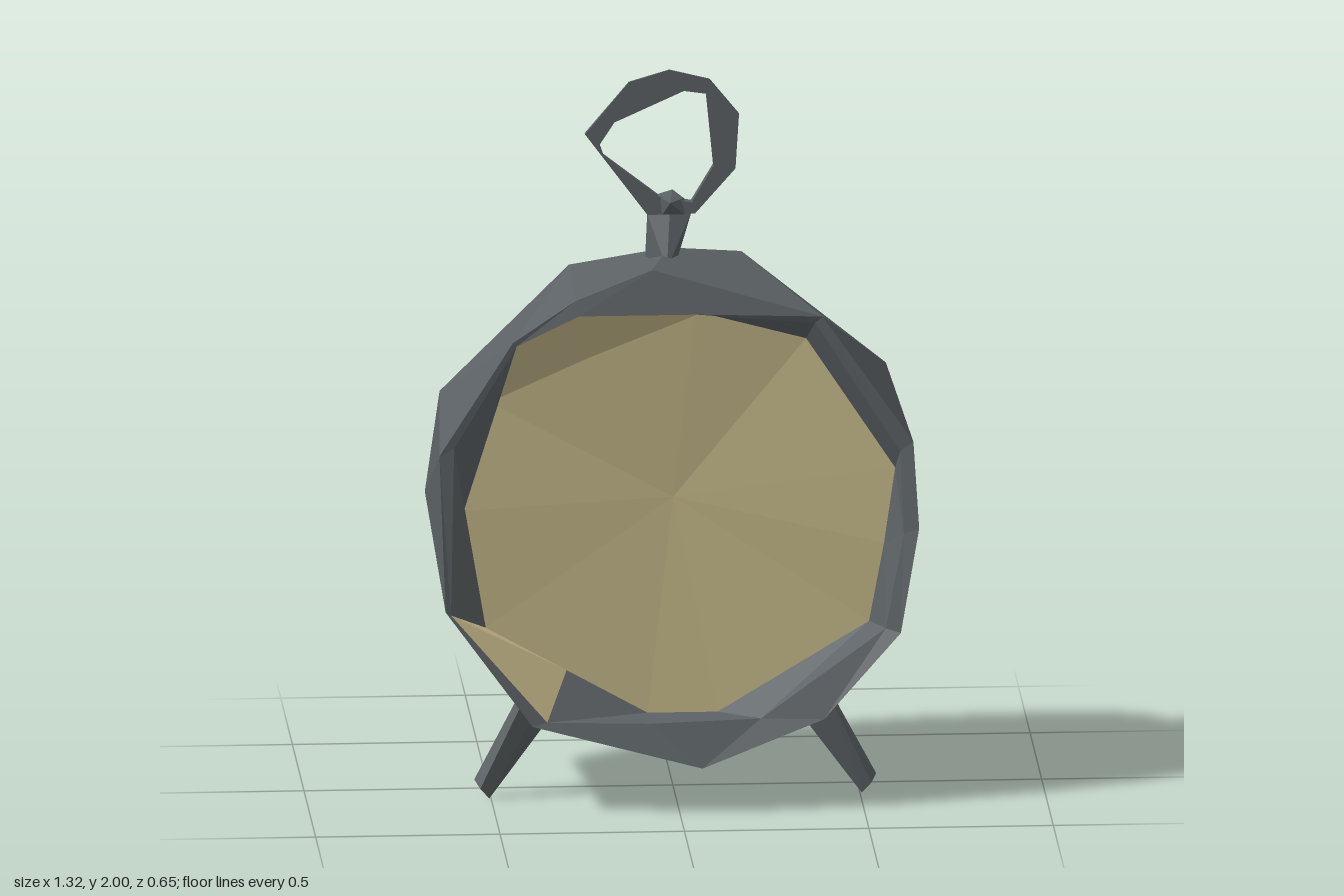
import * as THREE from 'three';
import { ConvexGeometry } from 'three/addons/geometries/ConvexGeometry.js';

const metal = new THREE.MeshStandardMaterial({ color: 0x5c6265, flatShading: true, side: THREE.DoubleSide });
const cream = new THREE.MeshStandardMaterial({ color: 0xc6b98a, flatShading: true, side: THREE.DoubleSide });
const N = 12;

// Triangles between two rings of N points, for the segments accepted by keep
function strip(a, b, keep = () => true) {
  const out = [];
  for (let i = 0; i < N; i++) {
    if (!keep(i)) continue;
    const j = (i + 1) % N;
    for (const t of [[a[i], b[i], a[j]], [a[j], b[i], b[j]]]) {
      if (new Set(t).size === 3) out.push(...t.flat());
    }
  }
  return out;
}

function surface(name, positions, material) {
  const g = new THREE.BufferGeometry();
  g.setAttribute('position', new THREE.Float32BufferAttribute(positions, 3));
  g.computeVertexNormals();
  const m = new THREE.Mesh(g, material);
  m.name = name;
  return m;
}

function hull(name, points) {
  const m = new THREE.Mesh(new ConvexGeometry(points.map(p => new THREE.Vector3(...p))), metal);
  m.name = name;
  return m;
}

export function createModel() {
  const group = new THREE.Group();

  // Rings of the case, counter-clockwise from the top as seen from the front
  const dialRing = [
    [0.05, 1.375, 0.2], [-0.24, 1.25, 0.2], [-0.51, 1.13, 0.2], [-0.58, 0.83, 0.21],
    [-0.52, 0.5, 0.2], [-0.3, 0.375, 0.19], [-0.08, 0.25, 0.18], [0.11, 0.25, 0.18],
    [0.52, 0.5, 0.19], [0.56, 0.72, 0.2], [0.59, 0.93, 0.2], [0.35, 1.29, 0.18]];
  const lip = [
    [0.05, 1.38, 0.255], [-0.27, 1.38, 0.255], [-0.44, 1.3, 0.26], [-0.61, 1.02, 0.27],
    [-0.62, 0.56, 0.295], [-0.36, 0.26, 0.31], [-0.08, 0.25, 0.3], [0.22, 0.26, 0.3],
    [0.56, 0.5, 0.275], [0.61, 0.76, 0.265], [0.6, 0.99, 0.26], [0.37, 1.35, 0.25]];
  const front = [
    [-0.07, 1.5, 0.23], [-0.28, 1.42, 0.245], [-0.45, 1.31, 0.262], [-0.65, 1.0, 0.275],
    [-0.635, 0.57, 0.3], [-0.4, 0.25, 0.315], [0.06, 0.13, 0.33], [0.39, 0.26, 0.32],
    [0.6, 0.49, 0.29], [0.65, 0.78, 0.285], [0.635, 1.02, 0.275], [0.39, 1.37, 0.258]];
  const back = [
    [-0.01, 1.49, -0.05], [-0.27, 1.41, -0.19], [-0.62, 1.06, -0.2], [-0.66, 0.78, -0.2],
    [-0.58, 0.42, -0.16], [-0.41, 0.25, -0.18], [0.06, 0.13, -0.18], [0.4, 0.27, -0.18],
    [0.6, 0.49, -0.15], [0.66, 0.77, -0.2], [0.59, 1.12, -0.2], [0.2, 1.43, -0.23]];
  const bulge = [
    [0, 1.31, -0.295], [-0.25, 1.28, -0.285], [-0.47, 1.03, -0.285], [-0.55, 0.83, -0.275],
    [-0.5, 0.45, -0.23], [-0.34, 0.3, -0.225], [0.03, 0.25, -0.235], [0.3, 0.35, -0.23],
    [0.42, 0.52, -0.24], [0.46, 0.78, -0.265], [0.43, 1.02, -0.27], [0.13, 1.3, -0.305]];
  const dialCentre = Array(N).fill([-0.01, 0.85, 0.17]);
  const backCentre = Array(N).fill([0.06, 1.0, -0.255]);

  // Some of the inner wall belongs to the dial
  const isDial = i => i < 2 || i === 4;
  group.add(surface('case', [
    ...strip(dialRing, lip, i => !isDial(i)), ...strip(lip, front), ...strip(front, back),
    ...strip(back, bulge), ...strip(bulge, backCentre)], metal));
  group.add(surface('dial', [...strip(dialCentre, dialRing), ...strip(dialRing, lip, isDial)], cream));

  // Two splayed front feet and one back foot
  for (const s of [-1, 1]) {
    group.add(hull(s < 0 ? 'rightFoot' : 'leftFoot', [
      [s * 0.34, 0.22, 0.1], [s * 0.42, 0.28, 0.07], [s * 0.42, 0.27, 0.15], [s * 0.37, 0.27, 0.14],
      [s * 0.505, 0, 0.115], [s * 0.545, 0.05, 0.1], [s * 0.53, 0.03, 0.125]]));
  }
  group.add(hull('backFoot', [
    [-0.02, 0.14, -0.17], [0.05, 0.14, -0.17], [0.02, 0.27, -0.235],
    [0, 0.02, -0.27], [0.03, 0.03, -0.27], [0.05, 0.07, -0.22]]));

  // Winding fins and small prongs on the back
  group.add(hull('windingFin', [
    [0.41, 0.87, -0.3], [0.39, 0.8, -0.3], [0.08, 1.02, -0.265], [0.3, 0.85, -0.23]]));
  group.add(hull('windingFinBase', [
    [0.39, 0.8, -0.3], [0.36, 0.58, -0.25], [0.33, 0.8, -0.25], [0.41, 0.87, -0.25]]));
  group.add(hull('upperProng', [
    [-0.05, 1.19, -0.325], [-0.035, 1.17, -0.325], [-0.05, 1.18, -0.295], [0.08, 1.03, -0.26], [0.06, 1.06, -0.25]]));
  group.add(hull('lowerProng', [
    [-0.26, 0.73, -0.32], [-0.27, 0.7, -0.28], [-0.33, 0.75, -0.24], [-0.48, 0.74, -0.265], [-0.33, 0.7, -0.24]]));

  // Neck and knob under the ring
  group.add(hull('neck', [
    [-0.075, 1.48, 0], [-0.02, 1.46, 0.065], [0.015, 1.48, 0], [-0.02, 1.48, -0.045],
    [-0.07, 1.6, 0.005], [0.05, 1.6, 0], [0, 1.6, -0.04], [0, 1.65, -0.04], [-0.01, 1.6, 0.02]]));
  group.add(hull('knob', [
    [-0.05, 1.65, 0], [0.03, 1.64, 0], [-0.03, 1.6, 0.02], [0.03, 1.6, 0.02], [-0.01, 1.64, 0.05], [0, 1.66, -0.02]]));

  // Irregular hanging ring, slightly turned
  const v = pts => pts.map(p => new THREE.Vector2(...p));
  const ring = new THREE.Shape(v([
    [-0.07, 1.6], [0.06, 1.6], [0.17, 1.72], [0.18, 1.87], [0.1, 1.97], [-0.01, 2], [-0.12, 1.97], [-0.24, 1.83]]));
  ring.holes.push(new THREE.Path(v([
    [-0.04, 1.65], [-0.19, 1.77], [-0.2, 1.8], [-0.16, 1.86], [0.03, 1.94], [0.09, 1.93], [0.11, 1.73], [0.05, 1.63]])));
  const g = new THREE.ExtrudeGeometry(ring, { depth: 1, bevelEnabled: false });
  const p = g.attributes.position;
  for (let i = 0; i < p.count; i++) {
    const thick = 0.005 + 0.07 * (2 - p.getY(i));
    p.setZ(i, (p.getZ(i) - 0.5) * thick - 0.09 * p.getX(i));
  }
  g.computeVertexNormals();
  const handle = new THREE.Mesh(g, metal);
  handle.name = 'hangingRing';
  group.add(handle);

  return group;
}
